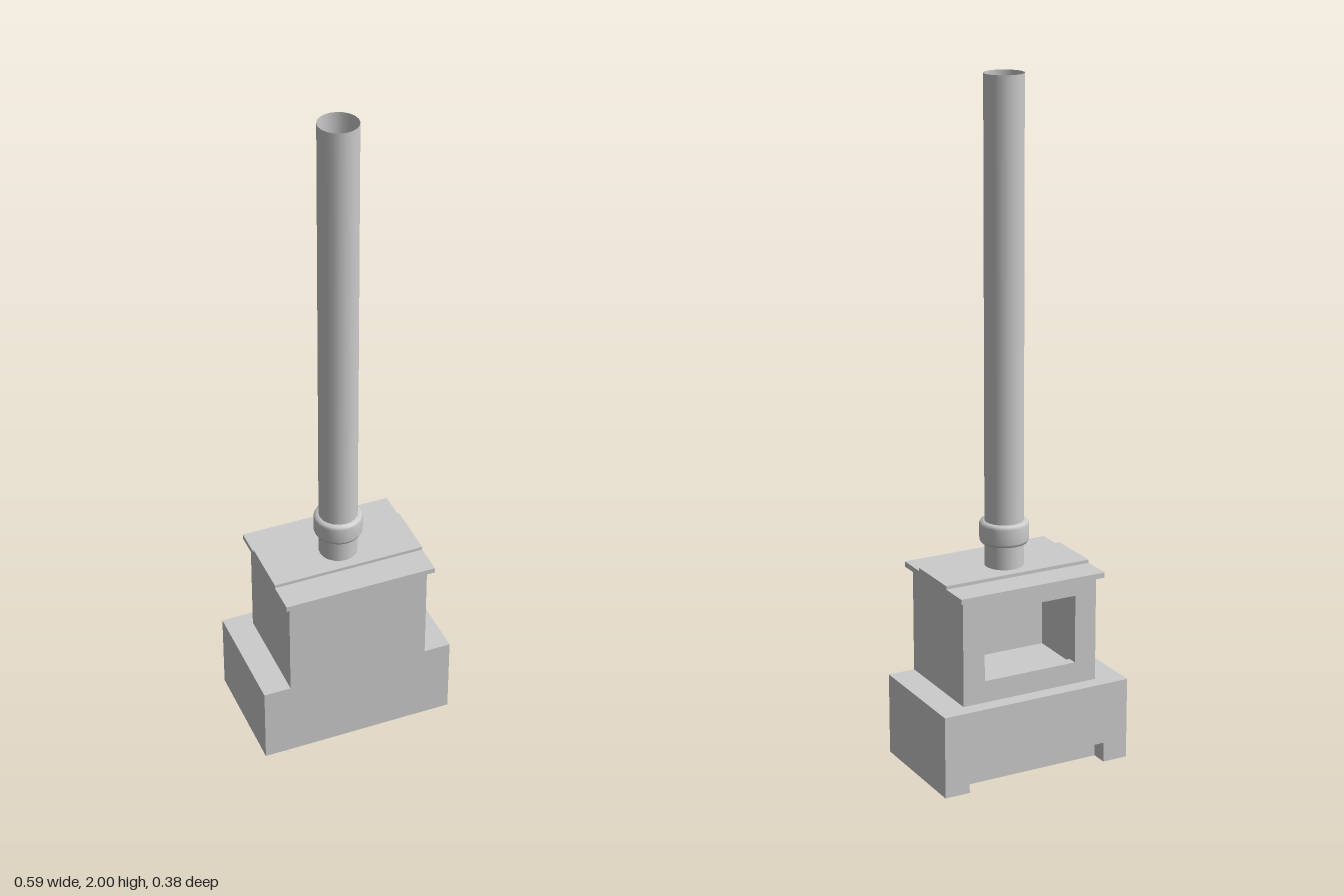
import * as THREE from 'three';

const material = new THREE.MeshStandardMaterial({ color: 0xcccccc, side: THREE.DoubleSide });

// Main dimensions
const BASE_W = 0.297, BASE_H = 0.245, BACK = -0.19, FRONT = 0.17;
const BODY_W = 0.215, BODY_TOP = 0.565, BODY_BACK = -0.145;
const NOTCH_W = 0.22, NOTCH_H = 0.06, NOTCH_D = 0.05;
const PIPE_Z = 0.012, PIPE_R = 0.057, SIDES = 20;

function outline(points) {
  return new THREE.Shape(points.map(([x, y]) => new THREE.Vector2(x, y)));
}

function add(parent, name, geometry, x = 0, y = 0, z = 0) {
  const mesh = new THREE.Mesh(geometry, material);
  mesh.name = name;
  mesh.position.set(x, y, z);
  parent.add(mesh);
  return mesh;
}

// Sheet facing up, spanning z0..z1
function level(parent, name, halfWidth, y, z0, z1) {
  const sheet = new THREE.PlaneGeometry(halfWidth * 2, z1 - z0).rotateX(-Math.PI / 2);
  return add(parent, name, sheet, 0, y, (z0 + z1) / 2);
}

// Mirrored pair of side sheets, facing outward (dir 1) or inward (dir -1)
function sidePair(parent, name, x, y0, y1, z0, z1, dir = 1) {
  for (const side of [1, -1]) {
    const sheet = new THREE.PlaneGeometry(z1 - z0, y1 - y0).rotateY(side * dir * Math.PI / 2);
    add(parent, (side > 0 ? 'left' : 'right') + name, sheet, side * x, (y0 + y1) / 2, (z0 + z1) / 2);
  }
}

function slab(parent, name, halfWidth, y0, y1, z0, z1) {
  add(parent, name, new THREE.BoxGeometry(halfWidth * 2, y1 - y0, z1 - z0), 0, (y0 + y1) / 2, (z0 + z1) / 2);
}

export function createModel() {
  const model = new THREE.Group();
  model.name = 'woodStove';

  // One stepped wall closes the front of base and firebox
  add(model, 'frontWall', new THREE.ShapeGeometry(outline([
    [-BASE_W, 0], [BASE_W, 0], [BASE_W, BASE_H], [BODY_W, BASE_H],
    [BODY_W, BODY_TOP], [-BODY_W, BODY_TOP], [-BODY_W, BASE_H], [-BASE_W, BASE_H],
  ])), 0, 0, FRONT);

  // Hollow base, open underneath, with a recess between the rear feet
  const base = new THREE.Group();
  base.name = 'base';
  model.add(base);
  sidePair(base, 'BaseWall', BASE_W, 0, BASE_H, BACK, FRONT);
  level(base, 'baseTop', BASE_W, BASE_H, BACK, FRONT);
  const rear = new THREE.ShapeGeometry(outline([
    [-BASE_W, 0], [-NOTCH_W, 0], [-NOTCH_W, NOTCH_H], [NOTCH_W, NOTCH_H],
    [NOTCH_W, 0], [BASE_W, 0], [BASE_W, BASE_H], [-BASE_W, BASE_H],
  ])).rotateY(Math.PI);
  add(base, 'baseRearWall', rear, 0, 0, BACK);
  sidePair(base, 'RecessSide', NOTCH_W, 0, NOTCH_H, BACK, BACK + NOTCH_D, -1);
  level(base, 'recessCeiling', NOTCH_W, NOTCH_H, BACK, BACK + NOTCH_D).rotation.x = Math.PI;
  add(base, 'recessWall', new THREE.PlaneGeometry(NOTCH_W * 2, NOTCH_H).rotateY(Math.PI),
    0, NOTCH_H / 2, BACK + NOTCH_D);

  // Hollow firebox with a thick framed opening
  const firebox = new THREE.Group();
  firebox.name = 'firebox';
  model.add(firebox);
  sidePair(firebox, 'FireboxWall', BODY_W, BASE_H, BODY_TOP, BODY_BACK, FRONT);
  const frame = outline([[-BODY_W, BASE_H], [BODY_W, BASE_H], [BODY_W, BODY_TOP], [-BODY_W, BODY_TOP]]);
  frame.holes.push(outline([[-0.147, 0.31], [-0.147, 0.515], [0.147, 0.515], [0.147, 0.31]]));
  add(firebox, 'openingFrame', new THREE.ExtrudeGeometry(frame, { depth: 0.03, bevelEnabled: false }),
    0, 0, BODY_BACK);

  // Stepped lid
  slab(model, 'topPlate', 0.231, 0.562, 0.578, -0.166, 0.19);
  slab(model, 'raisedPlate', 0.231, 0.578, 0.588, -0.075, 0.098);

  // Open flue pipe and its rounded collar
  add(model, 'fluePipe', new THREE.CylinderGeometry(PIPE_R, PIPE_R, 1.412, SIDES, 1, true), 0, 1.294, PIPE_Z);
  const collar = [[PIPE_R, 0.657], [0.068, 0.659], [0.072, 0.668], [0.072, 0.712], [0.068, 0.721], [PIPE_R, 0.723]];
  add(model, 'flueCollar', new THREE.LatheGeometry(collar.map(([r, y]) => new THREE.Vector2(r, y)), SIDES),
    0, 0, PIPE_Z);

  return model;
}
